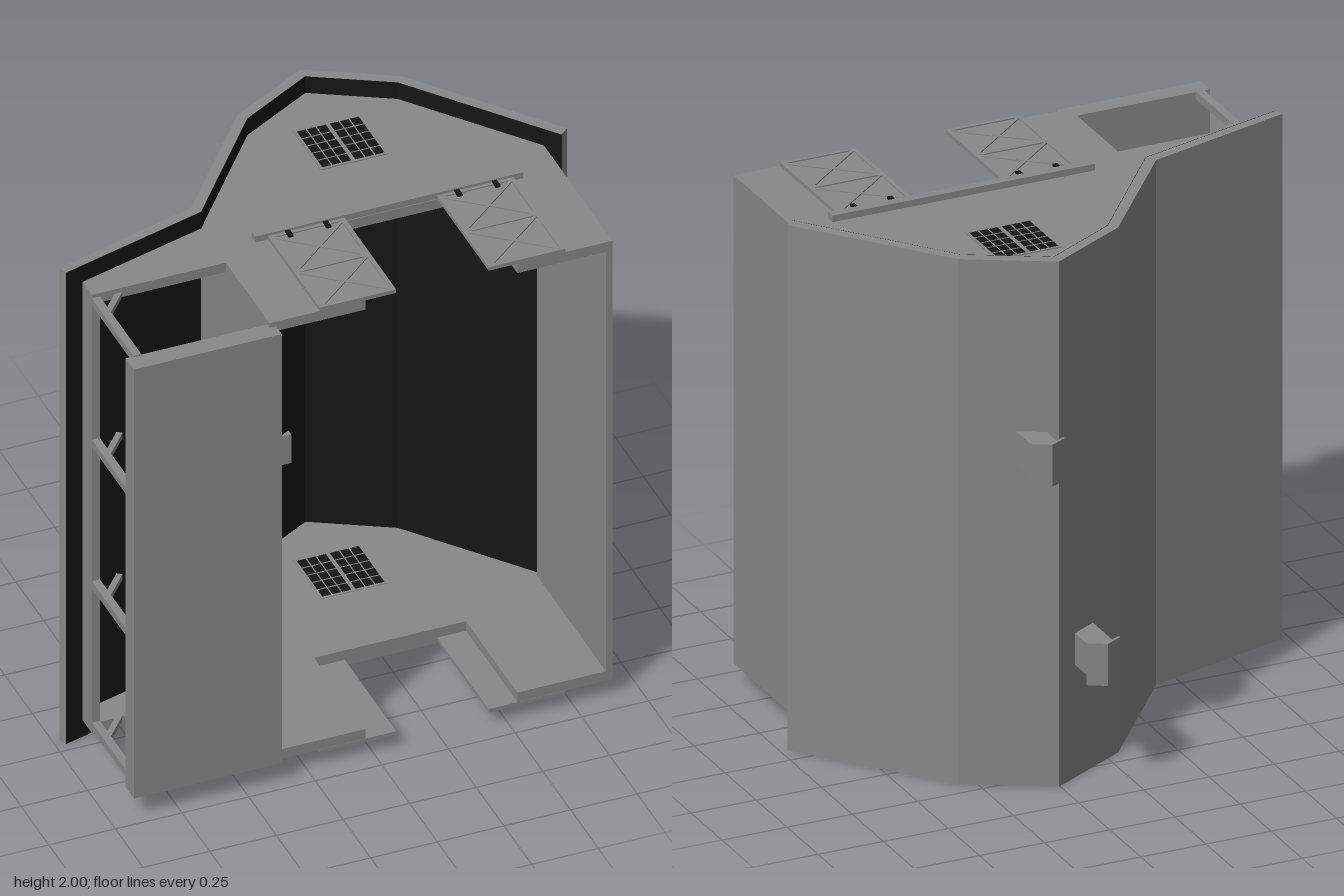
import * as THREE from 'three';

const grey = new THREE.MeshStandardMaterial({ color: 0x888888, flatShading: true });
const dark = new THREE.MeshStandardMaterial({ color: 0x161616, flatShading: true, side: THREE.DoubleSide });

// Barn space: x across, y up, z along the ridge (0..2); tipped onto its end at the finish.
function add(parent, name, geo, mat = grey) {
  const m = new THREE.Mesh(geo, mat);
  m.name = name;
  parent.add(m);
  return m;
}

// Box given by its min and max on each axis
function box(parent, name, x0, x1, y0, y1, z0, z1, mat) {
  const m = add(parent, name, new THREE.BoxGeometry(x1 - x0, y1 - y0, z1 - z0), mat);
  m.position.set((x0 + x1) / 2, (y0 + y1) / 2, (z0 + z1) / 2);
  return m;
}

// Straight bar between two points of a constant-z plane
function bar(parent, name, [xa, ya], [xb, yb], width, z, depth) {
  const m = add(parent, name, new THREE.BoxGeometry(Math.hypot(xb - xa, yb - ya), width, depth));
  m.position.set((xa + xb) / 2, (ya + yb) / 2, z);
  m.rotation.z = Math.atan2(yb - ya, xb - xa);
  return m;
}

const toPoints = pts => pts.map(p => new THREE.Vector2(...p));

function prism(parent, name, pts, z0, z1, hole) {
  const shape = new THREE.Shape(toPoints(pts));
  if (hole) shape.holes.push(new THREE.Path(toPoints(hole)));
  const m = add(parent, name, new THREE.ExtrudeGeometry(shape, { depth: z1 - z0, bevelEnabled: false }));
  m.position.z = z0;
  return m;
}

const rect = (x0, x1, y0, y1) => [[x0, y0], [x1, y0], [x1, y1], [x0, y1]];

// Square window with two sashes, each three panes wide and five high
function makeWindow(name, r, depth) {
  const g = new THREE.Group();
  g.name = name;
  const d = depth / 2, f = 0.01;
  box(g, 'glass', -r + f, r - f, -r + f, r - f, -d + 0.002, d - 0.002, dark);
  for (const s of [-1, 1]) {
    const c = s * (r - f / 2);
    box(g, 'frameSide', c - f / 2, c + f / 2, -r, r, -d, d);
    box(g, 'frameRail', -r, r, c - f / 2, c + f / 2, -d, d);
    for (const k of [1, 2]) {
      const x = s * (0.007 + k * (r - f - 0.007) / 3);
      box(g, 'paneBar', x - 0.002, x + 0.002, -r + f, r - f, -d + 0.001, d - 0.001);
    }
  }
  box(g, 'mullion', -0.007, 0.007, -r, r, -d, d);
  for (let k = 1; k < 5; k++) {
    const y = -r + f + k * (2 * r - 2 * f) / 5;
    box(g, 'paneBar', -r + f, r - f, y - 0.002, y + 0.002, -d + 0.001, d - 0.001);
  }
  return g;
}

// Sliding door with a shallow border, a middle rail and two crosses
function makeDoor(parent, x0, x1, zAt) {
  const y0 = -0.674, y1 = -0.205, ym = (y0 + y1) / 2, t = 0.016;
  const g = new THREE.Group();
  g.name = 'slidingDoor';
  parent.add(g);
  const slab = (name, a, b, c, d, p, q, mat) =>
    box(g, name, a, b, c, d, Math.min(zAt(p), zAt(q)), Math.max(zAt(p), zAt(q)), mat);
  slab('doorPanel', x0, x1, y0, y1, 0.93, 0.94);
  for (const x of [x0, x1 - t]) slab('doorStile', x, x + t, y0, y1, 0.94, 0.945);
  for (const y of [y0, ym - t / 2, y1 - t]) slab('doorRail', x0 + t, x1 - t, y, y + t, 0.94, 0.945);
  for (const [a, b] of [[y0 + t, ym - t / 2], [ym + t / 2, y1 - t]]) {
    bar(g, 'doorBrace', [x0 + t, a], [x1 - t, b], 0.012, zAt(0.941), 0.007);
    bar(g, 'doorBrace', [x0 + t, b], [x1 - t, a], 0.012, zAt(0.941), 0.006);
  }
  const xc = (x0 + x1) / 2;
  for (const x of [xc - 0.071, xc + 0.071])
    slab('doorHanger', x - 0.009, x + 0.009, -0.243, -0.2, 0.943, 0.951, dark);
}

export function createModel() {
  const model = new THREE.Group();
  model.name = 'barn';
  const barn = new THREE.Group();
  barn.name = 'barnBody';
  barn.rotation.x = -Math.PI / 2;
  model.add(barn);

  // Gambrel roof that runs on over the lean-to
  const outer = [[-0.973, -0.18], [-0.413, -0.02], [-0.053, 0.43], [0.255, 0.6], [0.562, 0.43], [0.973, -0.08]];
  const inner = [[-0.963, -0.213], [-0.39, -0.055], [-0.028, 0.4], [0.255, 0.557], [0.537, 0.4], [0.941, -0.107]];
  prism(barn, 'roof', [...outer, ...inner.slice().reverse()], 0, 2);

  // Dark lining under the roof
  const lining = [];
  for (let i = 0; i < inner.length - 1; i++) {
    const [a, b] = [inner[i], inner[i + 1]].map(([x, y]) => [x, y - 0.002]);
    lining.push(...a, 0, ...b, 2, ...b, 0, ...a, 0, ...a, 2, ...b, 2);
  }
  const liningGeo = new THREE.BufferGeometry();
  liningGeo.setAttribute('position', new THREE.Float32BufferAttribute(lining, 3));
  liningGeo.computeVertexNormals();
  add(barn, 'roofLining', liningGeo, dark);

  // Gable ends with doorway, sliding doors, track and window
  const gable = [[-0.893, -0.28], [-0.39, -0.28], [-0.39, -0.673], [-0.03, -0.673], [-0.03, -0.21],
    [0.54, -0.21], [0.54, -0.673], [0.897, -0.673], [0.897, -0.053], ...inner.slice(1, 5).reverse(), [-0.893, -0.195]];
  for (const s of [-1, 1]) {
    const zAt = d => 1 + s * d;
    const end = new THREE.Group();
    end.name = s > 0 ? 'frontEnd' : 'backEnd';
    barn.add(end);
    prism(end, 'gableWall', gable, Math.min(zAt(0.89), zAt(0.93)), Math.max(zAt(0.89), zAt(0.93)));
    makeDoor(end, -0.202, 0.085, zAt);
    makeDoor(end, 0.432, 0.72, zAt);
    const track = box(end, 'doorTrack', -0.25, 0.756, -0.207, -0.172, -0.0125, 0.0125);
    track.position.z = zAt(0.9425);
    const win = makeWindow('gableWindow', 0.127, 0.046);
    win.position.set(0.253, 0.232, zAt(0.911));
    end.add(win);
  }

  // Long walls; the lean-to wall has a recessed door on its inner face
  box(barn, 'outerSideWall', 0.872, 0.897, -0.673, -0.053, 0.07, 1.93);
  box(barn, 'leanToSideWall', -0.39, -0.378, -0.673, -0.055, 0.07, 1.93);
  const facing = prism(barn, 'leanToWallFacing', rect(0.07, 1.93, -0.673, -0.055), 0, 0.012,
    rect(1.42, 1.58, -0.645, -0.34));
  facing.rotation.y = -Math.PI / 2;
  facing.position.x = -0.366;
  const sideWindow = makeWindow('sideWindow', 0.115, 0.031);
  sideWindow.position.set(-0.381, -0.455, 0.63);
  sideWindow.rotation.y = Math.PI / 2;
  barn.add(sideWindow);

  // Lean-to porch: floor, beam, posts and braces
  box(barn, 'porchFloor', -0.92, -0.365, -0.724, -0.65, 0.09, 1.91);
  box(barn, 'porchBeam', -0.893, -0.863, -0.28, -0.19, 0.11, 1.89);
  for (let i = 0; i < 4; i++) {
    const z = 0.1 + i * 0.6;
    box(barn, 'porchPost', -0.893, -0.863, -0.655, -0.22, z - 0.015, z + 0.015);
    bar(barn, 'porchBrace', [-0.875, -0.375], [-0.785, -0.27], 0.022, z, 0.022);
  }

  // Roof vents with small gabled caps
  for (const [x, z, base] of [[0.125, 0.49, 0.482], [0.338, 1.29, 0.518]]) {
    const vent = new THREE.Group();
    vent.name = 'roofVent';
    barn.add(vent);
    prism(vent, 'ventShaft', [[x - 0.047, base], [x + 0.047, base], [x + 0.047, 0.686],
      [x, 0.71], [x - 0.047, 0.686]], z - 0.06, z + 0.06);
    prism(vent, 'ventCap', [[x - 0.062, 0.679], [x, 0.71], [x + 0.062, 0.679],
      [x + 0.062, 0.691], [x, 0.724], [x - 0.062, 0.691]], z - 0.08, z + 0.08);
  }
  return model;
}
